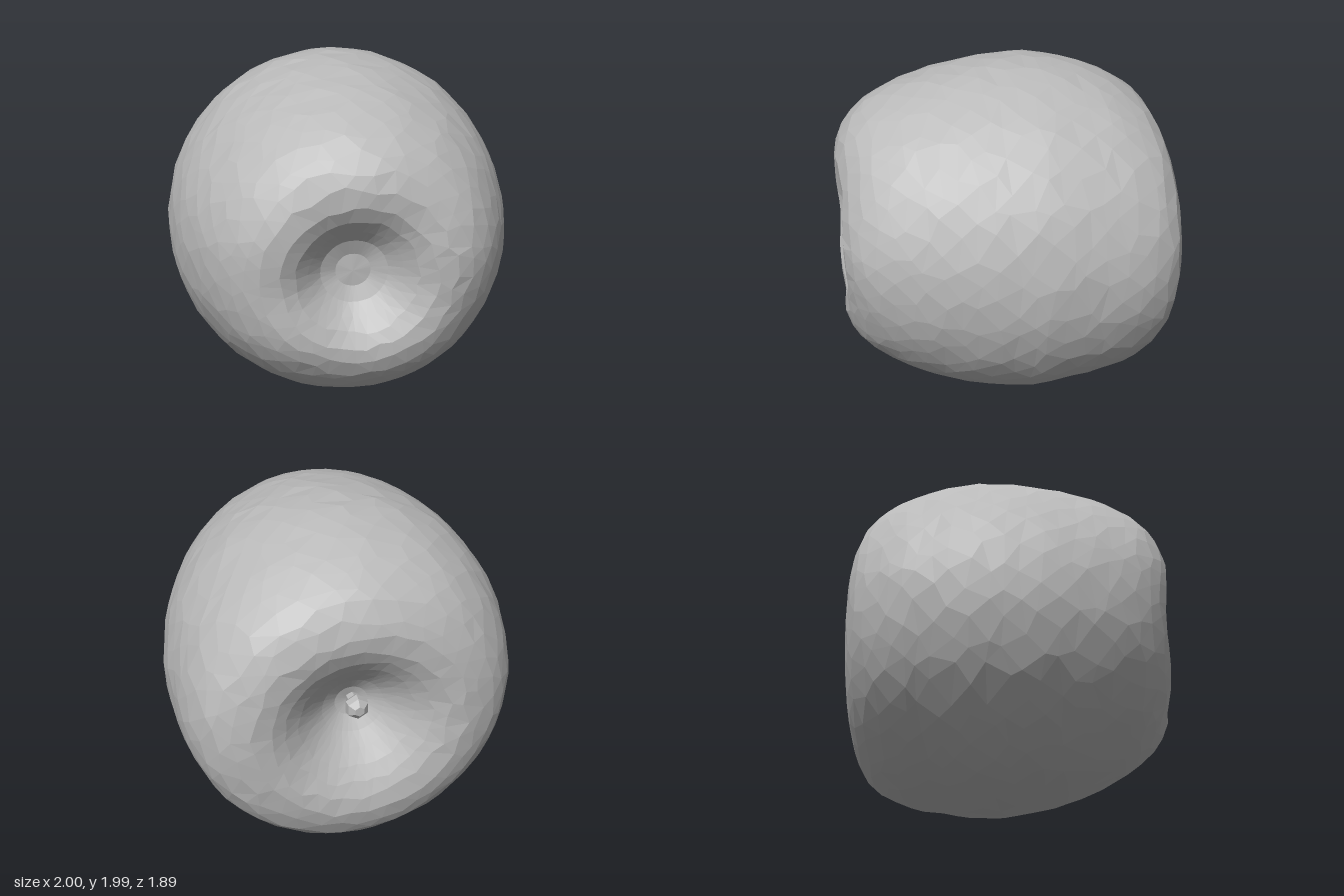
import * as THREE from 'three';

const skin = new THREE.MeshStandardMaterial({ color: 0xbababa, flatShading: true });
skin.name = 'plain grey';

// small seeded noise in -1..1
function makeNoise(seed) {
  let s = seed;
  return () => {
    s = (s * 16807) % 2147483647;
    return (s / 2147483647) * 2 - 1;
  };
}

// body: rings around the z axis, from the stem hollow to the blossom hollow
function buildBody() {
  const noise = makeNoise(4711);
  const profile = [
    [0, -0.6], [0.08, -0.62], [0.16, -0.67], [0.25, -0.745], [0.35, -0.825], [0.45, -0.88],
    [0.55, -0.9], [0.66, -0.875], [0.785, -0.8], [0.905, -0.6], [0.96, -0.4], [0.993, -0.18],
    [0.988, 0], [0.962, 0.2], [0.91, 0.4], [0.832, 0.6], [0.71, 0.8], [0.58, 0.905],
    [0.48, 0.938], [0.38, 0.925], [0.29, 0.865], [0.2, 0.78], [0.12, 0.735], [0, 0.735],
  ];
  const curve = new THREE.CatmullRomCurve3(
    profile.map(([r, z]) => new THREE.Vector3(r, 0, z)), false, 'centripetal');
  const rings = 36;
  const sides = 36;
  const positions = [];
  const index = [];
  for (let i = 0; i <= rings; i++) {
    const pole = i === 0 || i === rings;
    // facets get calmer towards both hollows
    const rough = 0.3 * THREE.MathUtils.smoothstep(Math.min(i, rings - i), 1, 8);
    for (let j = 0; j < sides; j++) {
      const p = curve.getPointAt(pole ? i / rings : (i + rough * noise()) / rings);
      const a = ((j + (i % 2) * 0.5 + 0.25 * noise()) / sides) * Math.PI * 2;
      const r = pole ? 0 : p.x * (1 + 0.004 * noise());
      const front = Math.max(p.z, 0) ** 2;
      const back = THREE.MathUtils.smoothstep(-p.z, 0.3, 0.85);
      const x = r * Math.cos(a) * (1.006 + 0.03 * back + 0.02 * front) + 0.03 * front * p.x;
      const y = 0.99 + r * Math.sin(a) + 0.09 * front * p.x - 0.02 * back * p.x;
      // the stem shoulder leans, the blossom rim is slightly lobed
      const lobe = 0.02 * front * p.x * Math.sin(a * 5 + 0.6);
      positions.push(x, y, p.z - 0.07 * x * back + lobe);
    }
  }
  for (let i = 0; i < rings; i++) {
    for (let j = 0; j < sides; j++) {
      const k = (j + 1) % sides;
      const a = i * sides + j, b = i * sides + k;
      const c = a + sides, d = b + sides;
      // diagonals follow the half-step stagger of the rings
      if (i % 2 === 0) index.push(a, b, c, b, d, c);
      else index.push(a, b, d, a, d, c);
    }
  }
  const geometry = new THREE.BufferGeometry();
  geometry.setAttribute('position', new THREE.Float32BufferAttribute(positions, 3));
  geometry.setIndex(index);
  geometry.computeVertexNormals();
  return geometry;
}

export function createModel() {
  const model = new THREE.Group();
  model.name = 'apple';

  const body = new THREE.Mesh(buildBody(), skin);
  body.name = 'body';
  model.add(body);

  // short knobbly stem deep in the back hollow
  const stemShape = [[0.035, 0], [0.04, 0.12], [0.07, 0.16], [0.065, 0.2], [0.03, 0.23], [0, 0.23]]
    .map(([r, h]) => new THREE.Vector2(r, h));
  const stem = new THREE.Mesh(new THREE.LatheGeometry(stemShape, 6), skin);
  stem.name = 'stem';
  stem.rotation.set(-Math.PI / 2, 0, 0.1);
  stem.position.set(0, 1, -0.53);
  model.add(stem);

  return model;
}
